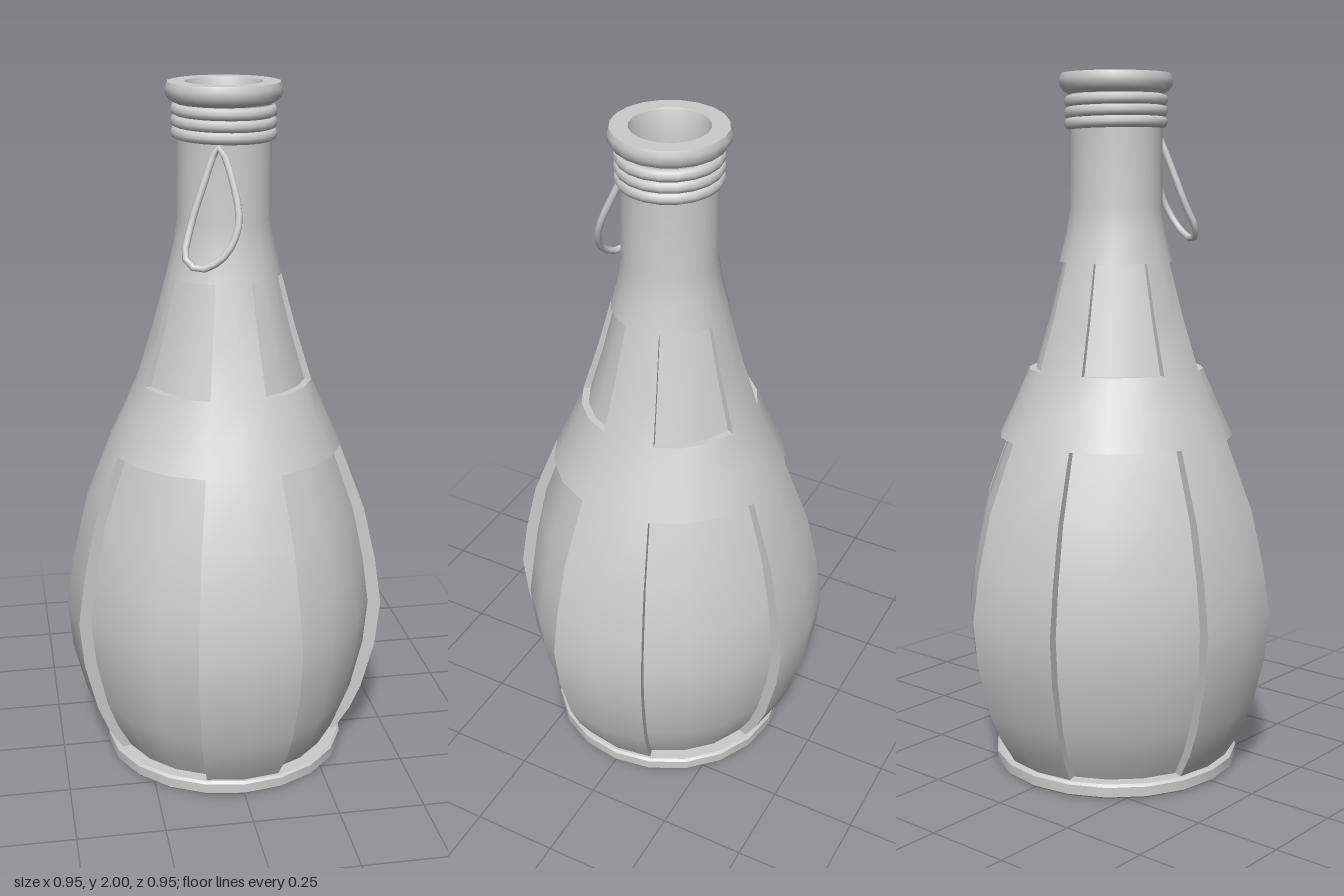
import * as THREE from 'three';
import { toCreasedNormals } from 'three/addons/utils/BufferGeometryUtils.js';

const SIDES = 20;
const RECESS = 0.92; // panel radius relative to the ribs

// Body profile as [radius, height]
const PROFILE = [
  [0.345, 0.04], [0.39, 0.115], [0.423, 0.195], [0.46, 0.345], [0.473, 0.48],
  [0.452, 0.62], [0.415, 0.78], [0.339, 0.975], [0.295, 1.07], [0.252, 1.17],
  [0.205, 1.32], [0.163, 1.475], [0.142, 1.56], [0.132, 1.63], [0.132, 1.86],
];

function mesh(name, geometry) {
  const material = new THREE.MeshStandardMaterial({ color: 0xcccccc });
  const m = new THREE.Mesh(geometry, material);
  m.name = name;
  return m;
}

function lathe(name, points) {
  const g = new THREE.LatheGeometry(points.map(([r, y]) => new THREE.Vector2(r, y)), SIDES);
  return mesh(name, toCreasedNormals(g, 0.7));
}

// Four tall lower panels and four short shoulder panels, each three sectors wide
function isRecessed(sector, row) {
  const s = ((sector % 5) + 5) % 5;
  const inPanelRow = (row >= 0 && row < 7) || row === 9 || row === 10;
  return s >= 1 && s <= 3 && inPanelRow;
}

function bodyGeometry() {
  const positions = [];
  const point = (sector, row, scale) => {
    const a = (sector / SIDES) * Math.PI * 2;
    const [r, y] = PROFILE[row];
    return [Math.sin(a) * r * scale, y, Math.cos(a) * r * scale];
  };
  const quad = (a, b, c, d) => positions.push(...a, ...b, ...c, ...a, ...c, ...d);

  for (let row = 0; row < PROFILE.length - 1; row++) {
    for (let k = 0; k < SIDES; k++) {
      const deep = isRecessed(k, row);
      const s = deep ? RECESS : 1;
      quad(point(k, row, s), point(k + 1, row, s), point(k + 1, row + 1, s), point(k, row + 1, s));

      // Upright step between a rib and a panel
      if (deep !== isRecessed(k - 1, row)) {
        const c = [point(k, row, 1), point(k, row, RECESS),
          point(k, row + 1, RECESS), point(k, row + 1, 1)];
        quad(...(deep ? c : c.reverse()));
      }
      // Level step at the top or bottom of a panel
      if (row > 0 && deep !== isRecessed(k, row - 1)) {
        const c = [point(k, row, 1), point(k + 1, row, 1),
          point(k + 1, row, RECESS), point(k, row, RECESS)];
        quad(...(deep ? c : c.reverse()));
      }
    }
  }
  const g = new THREE.BufferGeometry();
  g.setAttribute('position', new THREE.Float32BufferAttribute(positions, 3));
  return toCreasedNormals(g, 0.7);
}

export function createModel() {
  const model = new THREE.Group();
  model.name = 'bottle';

  model.add(mesh('body', bodyGeometry()));

  model.add(lathe('base', [
    [0, 0], [0.355, 0], [0.36, 0.005], [0.36, 0.033], [0.353, 0.04], [0, 0.04],
  ]));

  // Stacked cord rings around the neck
  for (let i = 0; i < 3; i++) {
    const g = new THREE.TorusGeometry(0.13, 0.0175, 8, SIDES);
    g.rotateX(Math.PI / 2);
    const ring = mesh('neckRing', g);
    ring.position.y = 1.863 + i * 0.031;
    ring.rotation.z = -0.02;
    model.add(ring);
  }

  // Lip with a straight-walled mouth
  model.add(lathe('lip', [
    [0.132, 1.85], [0.132, 1.943], [0.15, 1.952], [0.16, 1.967], [0.161, 1.985],
    [0.155, 2], [0.107, 2], [0.105, 1.997], [0.105, 1.89], [0, 1.89],
  ]));

  // Teardrop loop hanging from the cord
  const path = new THREE.CatmullRomCurve3([
    [-0.037, 1.84, 0.135], [-0.003, 1.74, 0.183], [0.001, 1.645, 0.22],
    [-0.042, 1.568, 0.236], [-0.105, 1.535, 0.22], [-0.137, 1.56, 0.198],
    [-0.12, 1.635, 0.168], [-0.085, 1.735, 0.15],
  ].map((p) => new THREE.Vector3(...p)), true);
  model.add(mesh('hangingLoop', new THREE.TubeGeometry(path, 24, 0.01, 8, true)));

  return model;
}
